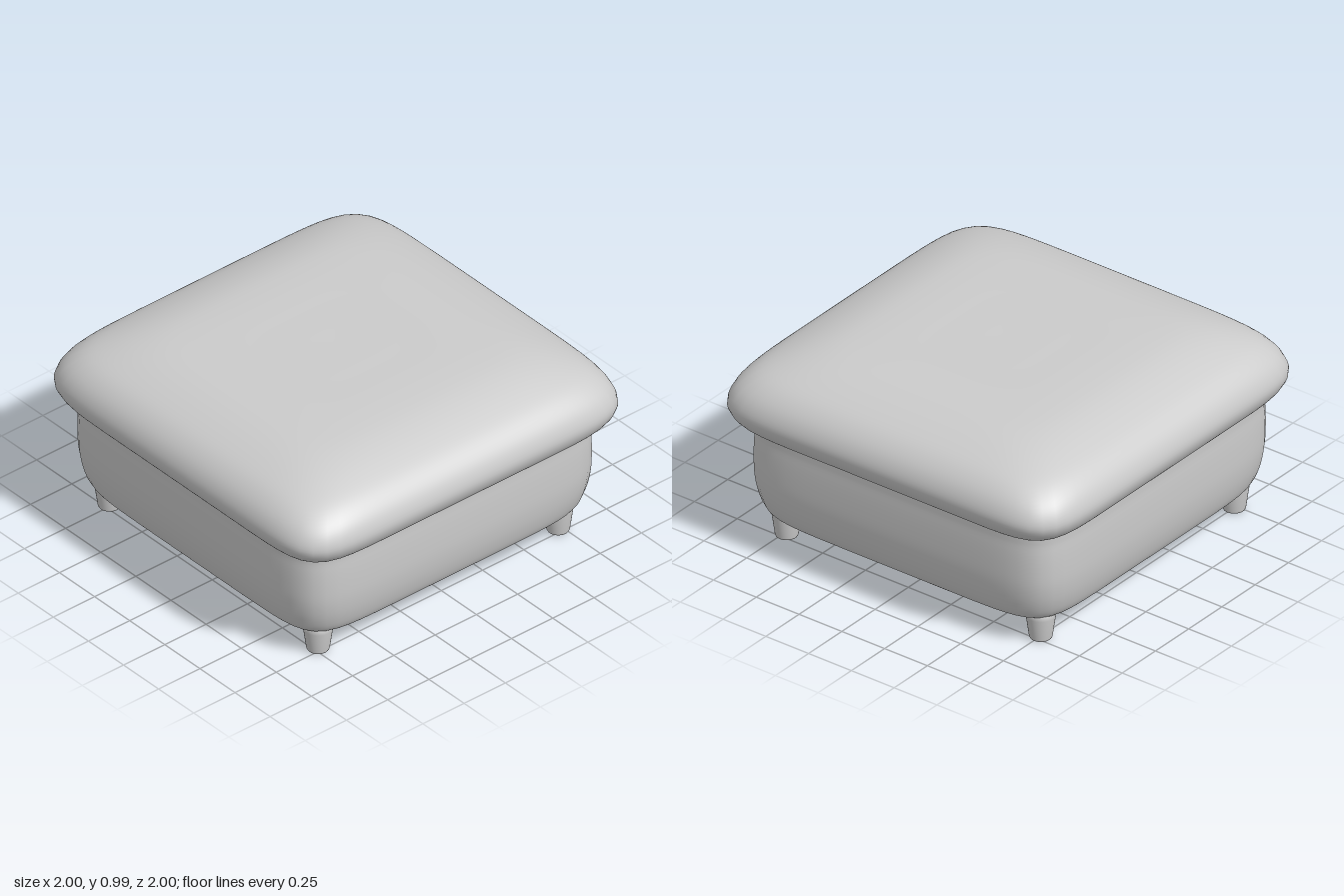
import * as THREE from 'three';

const material = new THREE.MeshStandardMaterial({ color: 0xcccccc });

// Soft square solid: profile points are [half width, height], listed from bottom centre to top centre.
function softSquare(name, profile, power, corner = 0, steps = 64, sides = 128) {
  const curve = new THREE.CatmullRomCurve3(
    profile.map(([r, y]) => new THREE.Vector3(r, y, 0)), false, 'centripetal');
  const position = [], index = [];
  for (let i = 0; i <= steps; i++) {
    const p = curve.getPoint(i / steps);
    const r = Math.max(p.x, 0);
    // Rings grow rounder towards the middle
    const n = THREE.MathUtils.lerp(3, power, Math.min(r, 1));
    for (let j = 0; j < sides; j++) {
      const t = (j / sides) * Math.PI * 2;
      const c = Math.cos(t), s = Math.sin(t);
      const k = r / Math.pow(Math.abs(c) ** n + Math.abs(s) ** n, 1 / n);
      const x = k * c, z = k * s;
      position.push(x, p.y + corner * (x * z) ** 4, z);
      if (i < steps) {
        const a = i * sides + j, b = i * sides + (j + 1) % sides;
        index.push(a, a + sides, b, b, a + sides, b + sides);
      }
    }
  }
  const geometry = new THREE.BufferGeometry();
  geometry.setAttribute('position', new THREE.Float32BufferAttribute(position, 3));
  geometry.setIndex(index);
  geometry.computeVertexNormals();
  const mesh = new THREE.Mesh(geometry, material);
  mesh.name = name;
  return mesh;
}

export function createModel() {
  const group = new THREE.Group();
  group.name = 'footstool';

  // Plump overhanging cushion, its corners hanging slightly lower
  group.add(softSquare('cushion', [
    [0, 0.62], [0.5, 0.62], [0.84, 0.612], [0.92, 0.622], [0.97, 0.662], [0.998, 0.735],
    [0.975, 0.815], [0.91, 0.885], [0.8, 0.938], [0.66, 0.976], [0.5, 0.99], [0.25, 0.992], [0, 0.992],
  ], 9, -0.015));

  // Upholstered base with a softly sagging underside
  const base = softSquare('base', [
    [0, 0.092], [0.4, 0.093], [0.65, 0.098], [0.79, 0.117], [0.845, 0.14], [0.865, 0.165],
    [0.888, 0.235], [0.903, 0.33], [0.907, 0.44], [0.904, 0.56], [0.895, 0.65], [0.8, 0.66], [0, 0.66],
  ], 10, 0.02);
  base.position.x = -0.01;
  group.add(base);

  // Four tapered feet with rounded rims
  const footProfile = [[0, 0], [0.044, 0], [0.051, 0.003], [0.055, 0.012], [0.07, 0.12], [0.07, 0.17], [0, 0.17]]
    .map(([r, y]) => new THREE.Vector2(r, y));
  const footGeometry = new THREE.LatheGeometry(footProfile, 32);
  for (const [side, x] of [['left', 0.73], ['right', -0.755]]) {
    for (const [end, z] of [['Front', 0.73], ['Back', -0.725]]) {
      const foot = new THREE.Mesh(footGeometry, material);
      foot.name = `${side}${end}Foot`;
      foot.position.set(x, 0, z);
      group.add(foot);
    }
  }
  return group;
}
